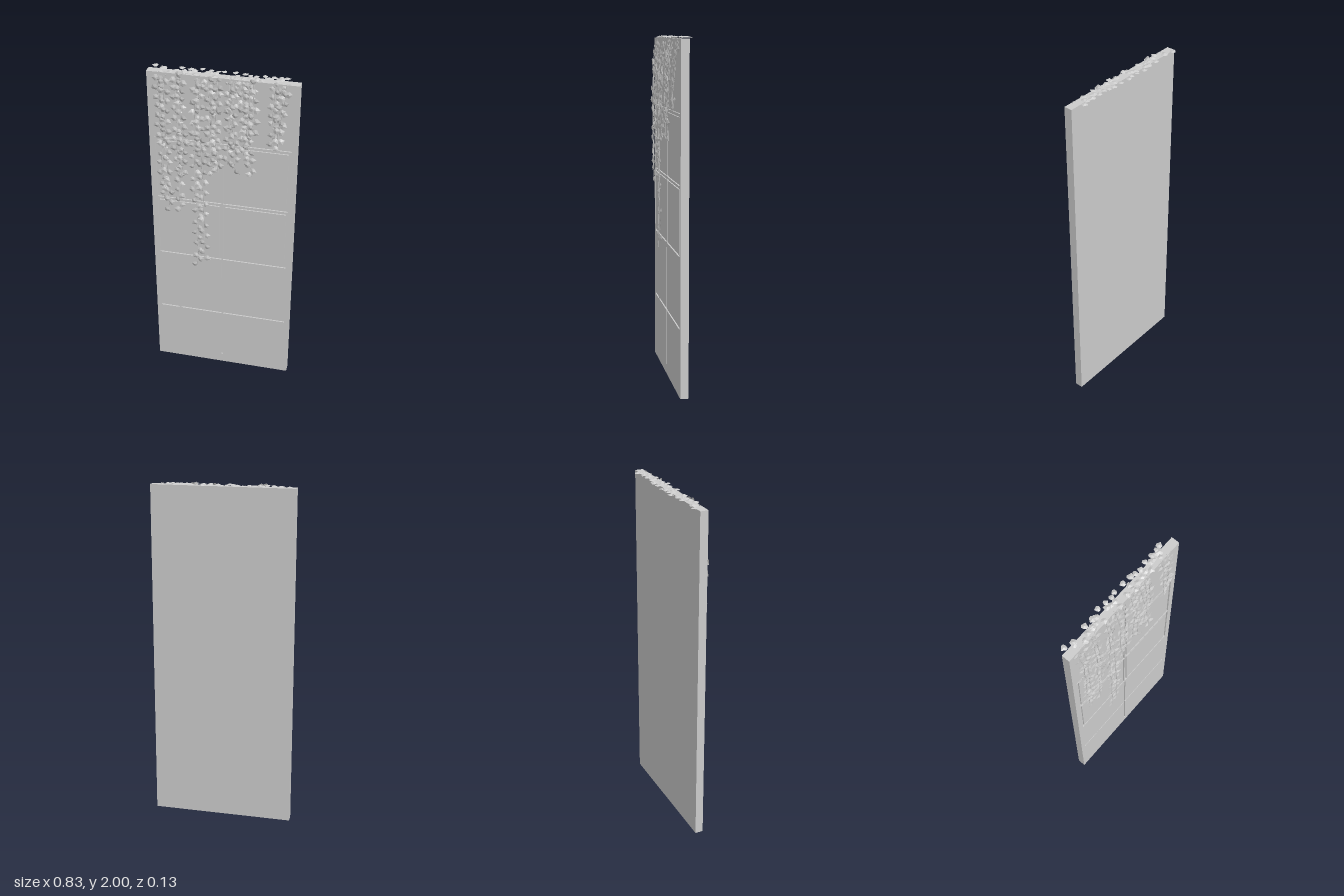
import * as THREE from 'three';
import { mergeGeometries } from 'three/addons/utils/BufferGeometryUtils.js';

const W = 0.413, H = 1.982, BACK = -0.022, FRONT = 0.025, GROOVE = 0.008;

// Small seeded generator so that every build is the same
function seeded(seed) {
  return () => {
    seed = (seed * 16807) % 2147483647;
    return seed / 2147483647;
  };
}

function polygon(points, Type = THREE.Path) {
  return new Type(points.map(([x, y]) => new THREE.Vector2(x, y)));
}

function rect(x0, y0, x1, y1, Type) {
  return polygon([[x0, y0], [x1, y0], [x1, y1], [x0, y1]], Type);
}

// Ivy leaf: a kite-like outline fanned around a raised centre
function leafGeometry() {
  const outline = [[0, 0], [0.4, 0.12], [0.5, 0.48], [0, 1], [-0.5, 0.48], [-0.4, 0.12]];
  const pos = [];
  outline.forEach(([x, y], i) => {
    const [nx, ny] = outline[(i + 1) % outline.length];
    pos.push(0, 0.42, 0.16, x, y, 0, nx, ny, 0);
  });
  const geo = new THREE.BufferGeometry();
  geo.setAttribute('position', new THREE.Float32BufferAttribute(pos, 3));
  geo.computeVertexNormals();
  return geo;
}

function placedLeaf(leaf, position, rotation, size) {
  const m = new THREE.Matrix4().compose(
    position,
    new THREE.Quaternion().setFromEuler(rotation),
    new THREE.Vector3(size, size, size)
  );
  return leaf.clone().applyMatrix4(m);
}

export function createModel() {
  const model = new THREE.Group();
  const grey = new THREE.MeshStandardMaterial({ color: 0xcccccc });
  const leafMat = new THREE.MeshStandardMaterial({ color: 0xcccccc, flatShading: true, side: THREE.DoubleSide });
  const add = (name, geo, mat = grey, parent = model) => {
    const mesh = new THREE.Mesh(geo, mat);
    mesh.name = name;
    parent.add(mesh);
    return mesh;
  };

  // Back slab
  const coreDepth = FRONT - GROOVE - BACK;
  const core = add('slab', new THREE.BoxGeometry(W * 2, H, coreDepth));
  core.position.set(0, H / 2, BACK + coreDepth / 2);

  // Front layer with the grooves and pane openings cut through it
  const face = rect(-W, 0, W, H, THREE.Shape);
  const g = 0.006, mid = 0.4;
  face.holes.push(
    // lower cross, with a small slanted break in its left arm
    polygon([
      [-g, 0.06], [g, 0.06], [g, mid - g], [0.385, mid - g], [0.385, mid + g], [g, mid + g],
      [g, 0.78], [-g, 0.78], [-g, mid + g], [-0.235, mid + g], [-0.265, mid - g], [-g, mid - g]
    ]),
    polygon([[-0.385, mid - g], [-0.27, mid - g], [-0.28, mid + g], [-0.385, mid + g]]),
    // line above the panes and the upright seam over it
    polygon([[-0.385, 1.587], [0.385, 1.587], [0.385, 1.597], [g, 1.597], [g, 1.93],
      [-g, 1.93], [-g, 1.597], [-0.385, 1.597]])
  );

  // Four panes, each sitting in its own narrow sunken border
  const border = 0.011;
  const panes = new THREE.Group();
  panes.name = 'panes';
  for (const [y0, y1] of [[0.805, 1.187], [1.197, 1.578]]) {
    for (const [x0, x1] of [[-0.379, -0.005], [0.005, 0.379]]) {
      face.holes.push(rect(x0, y0, x1, y1));
      const pane = add('pane', new THREE.BoxGeometry(x1 - x0 - 2 * border, y1 - y0 - 2 * border, GROOVE), grey, panes);
      pane.position.set((x0 + x1) / 2, (y0 + y1) / 2, FRONT - GROOVE / 2 - 0.001);
    }
  }
  const faceGeo = new THREE.ExtrudeGeometry(face, { depth: GROOVE, bevelEnabled: false });
  add('frontPanel', faceGeo.translate(0, 0, FRONT - GROOVE));
  model.add(panes);

  // Hanging vines: x at the top, x at the tip, height of the tip
  const vines = [
    [-0.345, -0.33, 1.20], [-0.32, -0.31, 1.13], [-0.25, -0.24, 1.13], [-0.225, -0.215, 1.36],
    [-0.145, -0.145, 0.75], [-0.12, -0.10, 0.81], [-0.08, -0.05, 1.40], [-0.03, -0.02, 1.42],
    [0.04, 0.04, 1.48], [0.06, 0.08, 1.44], [0.10, 0.17, 1.42], [0.15, 0.13, 1.55],
    [0.17, 0.17, 1.66], [0.275, 0.285, 1.63], [0.32, 0.305, 1.61], [0.34, 0.32, 1.72]
  ];
  const rand = seeded(4271);
  const spread = (a) => (rand() - 0.5) * 2 * a;
  const leaf = leafGeometry();

  vines.forEach(([xTop, xTip, tip]) => {
    const vine = new THREE.Group();
    vine.name = 'vine';
    const length = H - tip;
    const points = [new THREE.Vector3(xTop, H + 0.003, 0.02)];
    const steps = Math.max(4, Math.round(length / 0.1));
    for (let i = 1; i <= steps; i++) {
      const t = i / steps;
      const z = 0.03 + 0.018 * Math.min(1, (t * length) / 0.25);
      points.push(new THREE.Vector3(xTop + (xTip - xTop) * t + spread(0.008), H - t * length, z));
    }
    const curve = new THREE.CatmullRomCurve3(points);
    add('stem', new THREE.TubeGeometry(curve, steps * 3, 0.0018, 5), grey, vine);

    // Leaves leave the stem on alternating sides, tighter near the top
    const leaves = [];
    const count = Math.round(Math.min(length, 0.6) / 0.026 + Math.max(0, length - 0.6) / 0.048);
    for (let i = 0; i < count; i++) {
      const t = Math.pow((i + 0.7) / count, 1.15);
      const side = i % 2 ? 1 : -1;
      const p = curve.getPointAt(Math.min(t, 1));
      p.z += spread(0.004);
      const turn = new THREE.Euler(spread(0.25), spread(0.3), side * (1.7 + spread(0.6)));
      leaves.push(placedLeaf(leaf, p, turn, 0.032 + rand() * 0.01));
    }
    add('leaves', mergeGeometries(leaves), leafMat, vine);
    model.add(vine);
  });

  // Loose leaves lying on the top edge, some overhanging the back
  const topLeaves = [];
  for (let i = 0; i < 46; i++) {
    const behind = i % 3 === 0;
    const p = new THREE.Vector3(
      -0.35 + 0.69 * (i / 45) + spread(0.02),
      H + 0.003 + rand() * 0.006,
      behind ? -0.035 + spread(0.008) : spread(0.02)
    );
    const spin = behind ? (rand() < 0.5 ? 1.5 : -1.5) + spread(0.5) : rand() * Math.PI * 2;
    const turn = new THREE.Euler(-Math.PI / 2 + spread(0.12), spread(0.12), spin);
    topLeaves.push(placedLeaf(leaf, p, turn, 0.03 + rand() * 0.008));
  }
  add('topLeaves', mergeGeometries(topLeaves), leafMat);

  return model;
}
